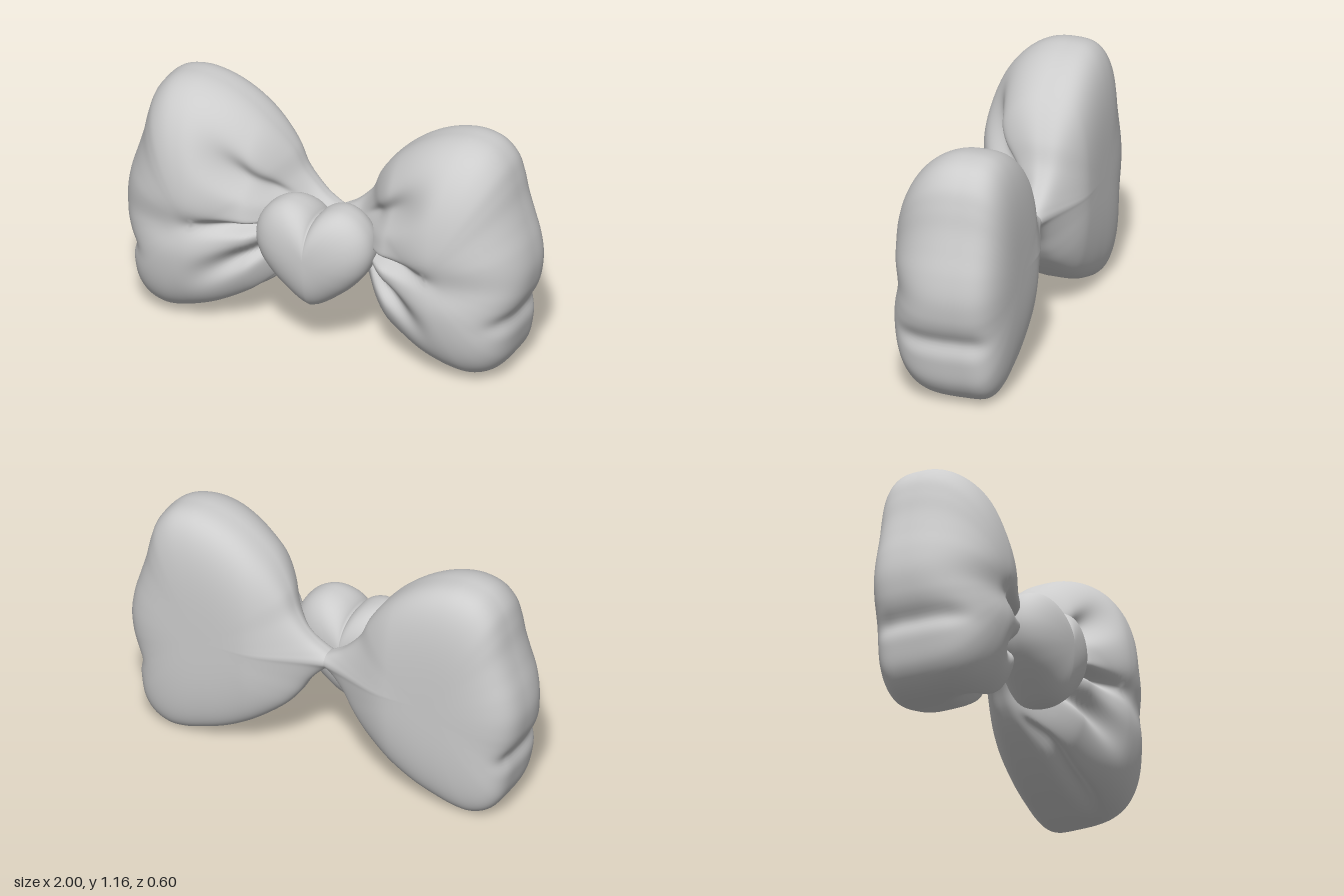
import * as THREE from 'three';
import { mergeVertices } from 'three/addons/utils/BufferGeometryUtils.js';

const { smoothstep, lerp } = THREE.MathUtils;
const gauss = (d, w) => Math.exp(-(d * d) / (w * w));

// Closed cushion: rings run from the front pole, over the outline, to the back pole.
// place(x, y, cap, isFront, t) returns the final [x, y, z]; cap is 1 at a pole and 0 at the rim.
function cushion(outline, cx, cy, rings, powers, place, mirror = 1) {
  const n = outline.length, pos = [], idx = [];
  for (let i = 0; i <= rings; i++) {
    const t = (i / rings) * Math.PI;
    const isFront = t <= Math.PI / 2;
    const e = 2 / powers[isFront ? 0 : 1];
    const r = Math.pow(Math.max(0, Math.sin(t)), e);
    const cap = Math.pow(Math.abs(Math.cos(t)), e);
    for (const p of outline) {
      const [x, y, z] = place(cx + (p.x - cx) * r, cy + (p.y - cy) * r, cap, isFront, t);
      pos.push(x * mirror, y, z);
    }
  }
  for (let i = 0; i < rings; i++) {
    for (let j = 0; j < n; j++) {
      const k = (j + 1) % n;
      const a = i * n + j, b = a + n, c = (i + 1) * n + k, d = i * n + k;
      const tris = [];
      if (i < rings - 1) tris.push([a, b, c]);
      if (i > 0) tris.push([a, c, d]);
      for (const [p, q, s] of tris) idx.push(...(mirror > 0 ? [p, q, s] : [p, s, q]));
    }
  }
  const geo = new THREE.BufferGeometry();
  geo.setAttribute('position', new THREE.Float32BufferAttribute(pos, 3));
  geo.setIndex(idx);
  const welded = mergeVertices(geo, 1e-5);
  welded.computeVertexNormals();
  return welded;
}

const toCurve = (pts, closed) =>
  new THREE.CatmullRomCurve3(pts.map(([x, y]) => new THREE.Vector3(x, y, 0)), closed);

// Bow loop outline, counter-clockwise from the knot
const LOOP = [
  [-0.08, 0.56], [0, 0.52], [0.08, 0.44], [0.14, 0.345], [0.2, 0.27], [0.3, 0.185], [0.4, 0.12],
  [0.5, 0.07], [0.6, 0.035], [0.7, 0.008], [0.78, 0.005], [0.86, 0.04], [0.915, 0.11], [0.943, 0.22],
  [0.957, 0.32], [0.972, 0.39], [0.99, 0.46], [1.0, 0.56], [0.985, 0.67], [0.953, 0.78], [0.924, 0.88],
  [0.902, 0.98], [0.87, 1.07], [0.8, 1.14], [0.7, 1.166], [0.6, 1.155], [0.5, 1.12], [0.4, 1.06],
  [0.3, 0.97], [0.22, 0.86], [0.17, 0.75], [0.08, 0.65], [0, 0.6],
];

// Fabric folds fanning out from the knot: angle, width, depth, fade start, fade end
const FOLDS = [
  [0.62, 0.14, 0.09, 0.34, 0.66],
  [-0.03, 0.08, 0.1, 0.28, 0.7],
  [-0.48, 0.12, 0.08, 0.32, 0.66],
];

function placeLoop(x, y, cap, isFront, t) {
  const out = smoothstep(x, 0.1, 0.35);
  const mid = lerp(-0.13, -0.07 - 0.06 * (1 - smoothstep(y, 0, 0.4)), out);
  // shallow nick in the outer side
  const nick = 0.024 * gauss(y - 0.33, 0.05) * smoothstep(x, 0.72, 0.9)
    * (1 - smoothstep(cap, 0.4, 0.95));
  if (!isFront) {
    const back = lerp(-0.21, -0.3, smoothstep(x, -0.02, 0.38));
    return [x - nick, y, lerp(mid, back, cap)];
  }
  // fuller towards the bottom, more sloped towards the top
  const full = Math.pow(cap, lerp(0.62, 1.12, smoothstep(y, 0.05, 0.85)));
  const crest = 0.285 - 0.07 * (1 - smoothstep(x, 0.28, 0.62));
  let z = mid + lerp(0.11, crest - mid, smoothstep(x, 0.11, 0.36)) * full;
  const angle = Math.atan2(y - 0.56, x - 0.05);
  for (const [a, w, depth, from, to] of FOLDS) {
    z -= depth * gauss(angle - a, w) * smoothstep(x, 0.14, 0.28) * (1 - smoothstep(x, from, to)) * cap;
  }
  z -= 0.025 * gauss(y - 0.53, 0.09) * smoothstep(x, 0.3, 0.5) * cap;
  // long tuck along the lower edge
  const tuck = 0.05 * gauss(t - 1.35, 0.1) * smoothstep(x, 0.15, 0.3)
    * (1 - smoothstep(x, 0.5, 0.75)) * (1 - smoothstep(y, 0.3, 0.42));
  return [x + tuck * 0.4 - nick, y + tuck, z];
}

// Left half of the heart outline, from the bottom tip to the notch
const HEART = [
  [0, 0.237], [0.04, 0.252], [0.11, 0.3], [0.2, 0.38], [0.265, 0.47], [0.288, 0.56],
  [0.268, 0.65], [0.21, 0.72], [0.135, 0.75], [0.06, 0.735], [0.015, 0.7], [0, 0.675],
];

export function createModel() {
  const group = new THREE.Group();
  group.name = 'bow';
  const grey = new THREE.MeshStandardMaterial({ color: 0xcccccc });
  grey.name = 'plain grey';
  const add = (name, geo) => {
    const mesh = new THREE.Mesh(geo, grey);
    mesh.name = name;
    group.add(mesh);
  };

  // The two puffed loops meet in the pinched knot
  const loop = toCurve(LOOP, true).getSpacedPoints(200).slice(0, -1);
  for (const [name, side] of [['leftLoop', 1], ['rightLoop', -1]]) {
    add(name, cushion(loop, 0.58, 0.56, 96, [2.35, 3.5], placeLoop, side));
  }

  // Puffed heart in front of the knot
  const half = toCurve(HEART, false).getSpacedPoints(50);
  const other = half.slice(1, -1).reverse().map((p) => new THREE.Vector3(-p.x, p.y, 0));
  add('heart', cushion([...half, ...other], 0, 0.52, 48, [2.3, 2.4],
    (x, y, cap, isFront) => [x, y, 0.14 + (isFront ? 0.16 : -0.19) * cap]));

  return group;
}
